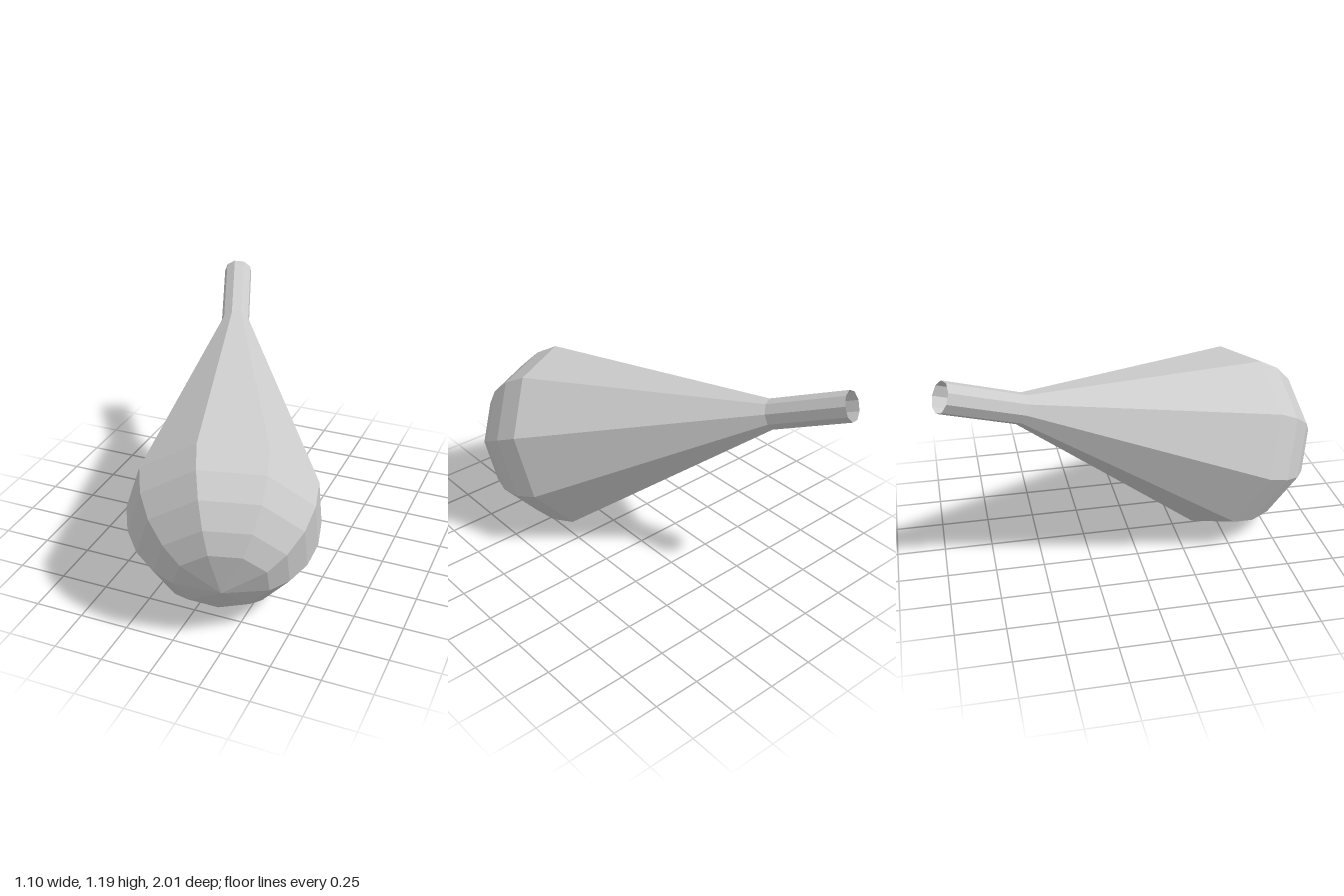
import * as THREE from 'three';

const SIDES = 9;
const NOSE = new THREE.Vector3(0.23, 0.31, 0.94);
const TIP = new THREE.Vector3(-0.475, 1.13, -0.965);

export function createModel() {
  const group = new THREE.Group();
  group.name = 'bulb';

  const length = NOSE.distanceTo(TIP);
  const R = 0.495;

  // Profile along the axis: rounded nose, long taper, thin open neck
  const profile = [new THREE.Vector2(0, 0)];
  for (const deg of [28, 42, 58, 74, 90]) {
    const a = THREE.MathUtils.degToRad(deg);
    profile.push(new THREE.Vector2(R * Math.sin(a), 0.5 * (1 - Math.cos(a))));
  }
  const neckStart = new THREE.Vector2(0.078, 1.765);
  const body = new THREE.LatheGeometry([...profile, neckStart], SIDES);
  const neck = new THREE.LatheGeometry([neckStart, new THREE.Vector2(0.078, length)], SIDES);

  const material = new THREE.MeshStandardMaterial({
    color: 0xcccccc, flatShading: true, side: THREE.DoubleSide,
  });

  // Tilt the axis from nose to tip; the first lathe seam points along 'seam'
  const axis = TIP.clone().sub(NOSE).normalize();
  const seam = new THREE.Vector3(-0.049, 0.443, 0.21);
  seam.addScaledVector(axis, -seam.dot(axis)).normalize();
  const cross = new THREE.Vector3().crossVectors(axis, seam);
  const tilt = new THREE.Matrix4().makeBasis(cross, axis, seam).setPosition(NOSE);

  for (const [name, geometry] of [['body', body], ['neck', neck]]) {
    geometry.applyMatrix4(tilt);
    const mesh = new THREE.Mesh(geometry, material);
    mesh.name = name;
    group.add(mesh);
  }
  return group;
}
